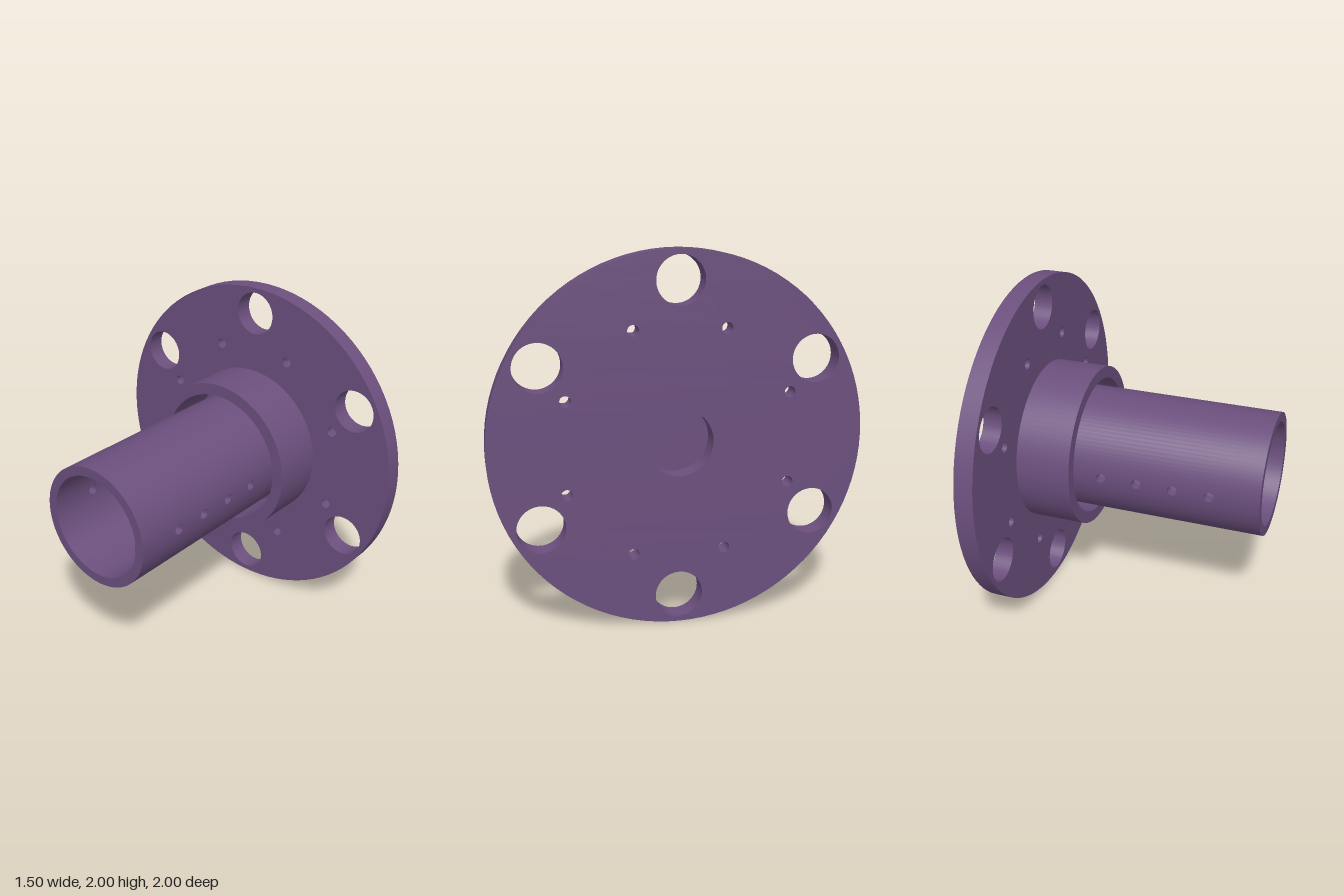
import * as THREE from 'three';
import { mergeGeometries, toCreasedNormals } from 'three/addons/utils/BufferGeometryUtils.js';

const purple = new THREE.MeshStandardMaterial({ color: 0x6b4f7d });
purple.name = 'purple';

const R_OUT = 0.36, R_IN = 0.305;       // tube radii
const X_OPEN = -0.75, X_FLANGE = 0.64, X_FACE = 0.75, X_FLOOR = 0.54;
const STRIP = 0.045;                    // half height of the drilled strips

// Surface of revolution about the x axis from one straight [radius, x] line
function turned(a, b, start = 0, length = Math.PI * 2, segments = 96) {
  const pts = [a, b].map(([r, x]) => new THREE.Vector2(r, x));
  return new THREE.LatheGeometry(pts, segments, start, length).rotateZ(-Math.PI / 2);
}

// Closed run of turned lines, each keeping its own crisp edge
function turnedRun(points) {
  return points.slice(1).map((p, i) => turned(points[i], p));
}

function circleHole(shape, x, y, r) {
  shape.holes.push(new THREE.Path().absarc(x, y, r, 0, Math.PI * 2, true));
}

// Round plate with six large holes, eight small holes and a centre bore
function flangeGeometry() {
  const disc = new THREE.Shape().absarc(0, 0, 1, 0, Math.PI * 2, false);
  circleHole(disc, 0, 0, 0.18);
  for (let i = 0; i < 6; i++) {
    const t = Math.PI / 2 + i * Math.PI / 3;
    circleHole(disc, 0.843 * Math.cos(t), 0.843 * Math.sin(t), 0.128);
  }
  for (let i = 0; i < 8; i++) {
    const t = (i + 0.5) * Math.PI / 4;
    circleHole(disc, 0.643 * Math.cos(t), 0.643 * Math.sin(t), 0.03);
  }
  const g = new THREE.ExtrudeGeometry(disc, { depth: X_FACE - X_FLANGE, bevelEnabled: false, curveSegments: 48 });
  g.rotateY(Math.PI / 2).translate(X_FLANGE, 0, 0);
  return toCreasedNormals(g, 0.5);
}

// Narrow drilled strip of tube wall, curved to the tube radii
function drilledStrip() {
  const s = new THREE.Shape();
  s.moveTo(-STRIP, X_OPEN).lineTo(STRIP, X_OPEN).lineTo(STRIP, X_FLANGE).lineTo(-STRIP, X_FLANGE).closePath();
  for (let i = 0; i < 4; i++) circleHole(s, 0, -0.465 + i * 0.213, 0.03);
  let g = new THREE.ExtrudeGeometry(s, { depth: 1, bevelEnabled: false, curveSegments: 12 });
  const capCount = g.groups[0].count;
  const p = g.attributes.position;
  const isOuter = [];
  for (let i = 0; i < p.count; i++) {
    const u = p.getX(i), v = p.getY(i);
    isOuter[i] = p.getZ(i) > 0.5;
    const r = isOuter[i] ? R_OUT : R_IN;
    p.setXYZ(i, v, -u, Math.sqrt(r * r - u * u));
  }
  g = toCreasedNormals(g, 0.6);
  // Radial normals on the inner and outer skins
  const q = g.attributes.position, n = g.attributes.normal;
  for (let i = 0; i < capCount; i++) {
    const k = isOuter[i] ? 1 / R_OUT : -1 / R_IN;
    n.setXYZ(i, 0, q.getY(i) * k, q.getZ(i) * k);
  }
  return g;
}

export function createModel() {
  const model = new THREE.Group();
  model.name = 'flangedTube';
  const body = new THREE.Group();
  body.position.y = 1;
  model.add(body);

  const add = (name, geometry) => {
    const mesh = new THREE.Mesh(geometry, purple);
    mesh.name = name;
    body.add(mesh);
    return mesh;
  };

  add('flange', flangeGeometry());

  // Collar around the tube, leaving a narrow open groove
  add('collar', mergeGeometries(turnedRun([[0.41, X_FLANGE], [0.41, 0.32], [0.48, 0.32], [0.48, X_FLANGE]])));

  // Tube walls between the drilled strips, open rim and closed inner end
  const walls = [];
  for (const side of [0, Math.PI]) {
    const ao = Math.asin(STRIP / R_OUT), ai = Math.asin(STRIP / R_IN);
    walls.push(turned([R_OUT, X_OPEN], [R_OUT, X_FLANGE], side + ao, Math.PI - 2 * ao, 44));
    walls.push(turned([R_IN, X_FLOOR], [R_IN, X_OPEN], side + ai, Math.PI - 2 * ai, 44));
  }
  walls.push(turned([R_IN, X_OPEN], [R_OUT, X_OPEN]));
  walls.push(turned([0, X_FLOOR], [R_IN, X_FLOOR]));
  walls.push(turned([R_OUT, X_FLANGE], [0, X_FLANGE]));
  add('tube', mergeGeometries(walls));

  // Drilled strips on the front and back of the tube
  const strip = drilledStrip();
  add('frontDrilledStrip', strip);
  add('backDrilledStrip', strip).rotation.x = Math.PI;

  return model;
}
